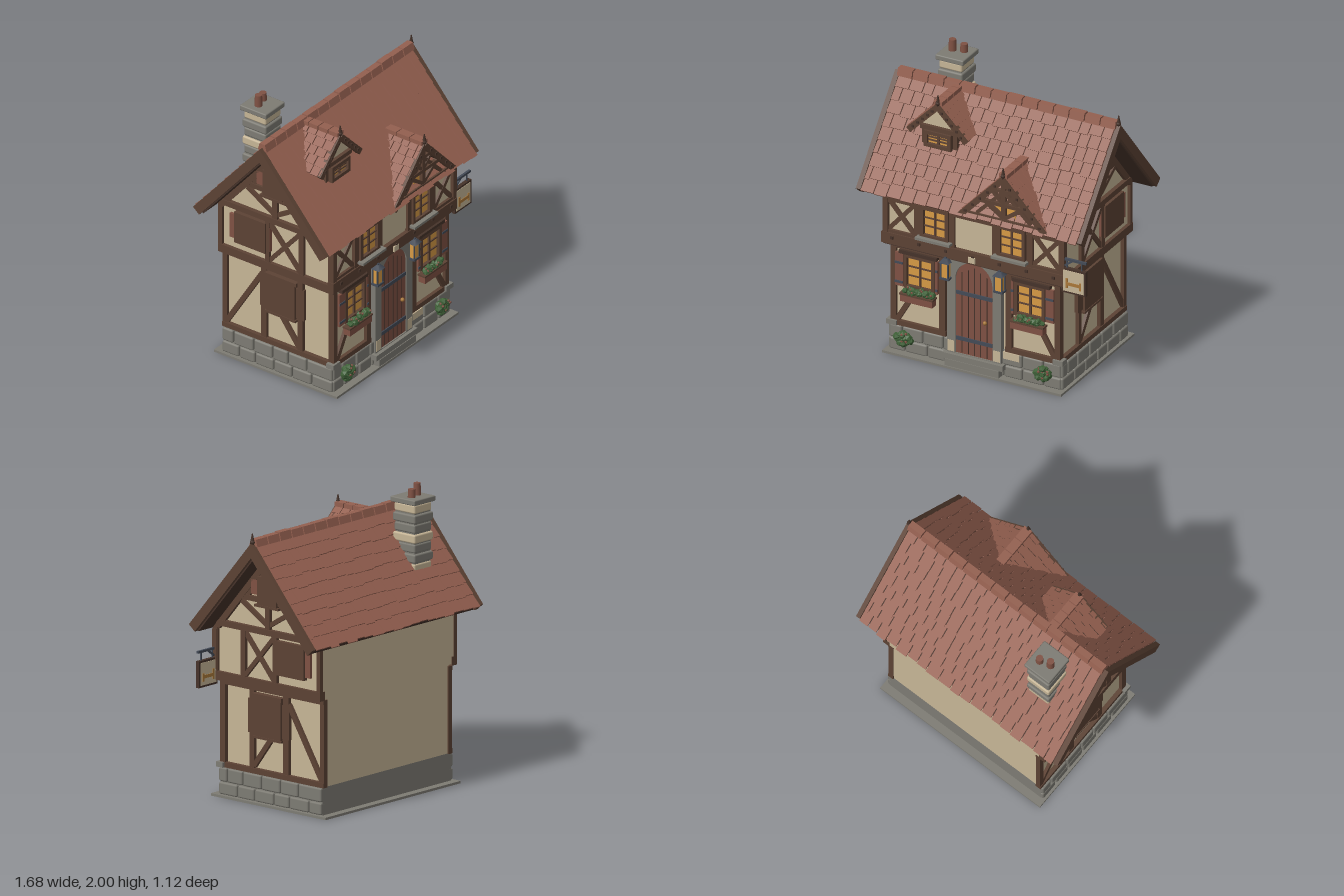
import * as THREE from 'three';
import { mergeGeometries } from 'three/addons/utils/BufferGeometryUtils.js';
import { RoundedBoxGeometry } from 'three/addons/geometries/RoundedBoxGeometry.js';

const paint = (name, color) => Object.assign(new THREE.MeshStandardMaterial({ color }), { name });
const plaster = paint('plaster', 0xc6b596), timber = paint('timber', 0x5c4234), dark = paint('dark timber', 0x46332a);
const tile = paint('roof tile', 0x935f4f), stone = paint('stone', 0x7d7b73), iron = paint('iron', 0x434a56);
const glow = paint('lit glass', 0xd69a45), leaf = paint('leaf', 0x3f6138), wood = paint('red wood', 0x7f5143);
const brass = paint('brass', 0xa9783a);

let seed = 7;
const rnd = () => (seed = (seed * 16807) % 2147483647) / 2147483647;

function add(p, name, geo, mat, x = 0, y = 0, z = 0) {
  const m = new THREE.Mesh(geo, mat);
  m.name = name;
  m.position.set(x, y, z);
  p.add(m);
  return m;
}
const box = (p, name, mat, x, y, z, w, h, d) => add(p, name, new THREE.BoxGeometry(w, h, d), mat, x, y, z);
// Box given by its left, right, bottom and top edges
const span = (p, name, mat, x0, x1, y0, y1, z, d) => box(p, name, mat, (x0 + x1) / 2, (y0 + y1) / 2, z, x1 - x0, y1 - y0, d);
function bar(p, name, mat, x1, y1, x2, y2, w, z, d) {
  const m = box(p, name, mat, (x1 + x2) / 2, (y1 + y2) / 2, z, Math.hypot(x2 - x1, y2 - y1), w, d);
  m.rotation.z = Math.atan2(y2 - y1, x2 - x1);
}
function group(p, name) {
  const g = new THREE.Group();
  g.name = name;
  p.add(g);
  return g;
}
const shapeOf = pts => new THREE.Shape(pts.map(q => new THREE.Vector2(...q)));
const extrude = (s, depth) => new THREE.ExtrudeGeometry(s, { depth, bevelEnabled: false, curveSegments: 16 });
// Cross-section in the z-y plane carried along x
const prism = (pts, x0, x1) => extrude(shapeOf(pts), x1 - x0).rotateY(Math.PI / 2).translate(x0, 0, 0);

// Main roof line: y falls from APEX with z
const APEX = 1.79, SLOPE = 1.17, A = Math.atan(SLOPE);
const valley = y => (APEX - y) / SLOPE;
function chevron(reach, top, thick) {
  const y = APEX + top - SLOPE * reach, t = thick * Math.cos(A);
  const zi = reach - t * Math.sin(A), yi = y - t * Math.cos(A);
  return [[-reach, y], [-zi, yi], [0, APEX + top - thick], [zi, yi], [reach, y], [0, APEX + top]];
}

// Two staggered courses of rounded blocks along a wall
function stones(p, u0, u1, z) {
  [[0.018, 0.1], [0.105, 0.2]].forEach(([y0, y1], row) => {
    let u = u0;
    while (u < u1 - 0.02) {
      let w = 0.12 + rnd() * 0.05 - (row && u === u0 ? 0.05 : 0);
      if (u1 - u - w < 0.07) w = u1 - u;
      const g = new RoundedBoxGeometry(w - 0.008, y1 - y0, 0.05, 1, 0.012);
      add(p, 'foundationBlock', g, stone, u + w / 2, (y0 + y1) / 2, z);
      u += w;
    }
  });
}

function window_(p, x0, x1, y0, y1, z) {
  const g = group(p, 'window'), f = 0.025, cx = (x0 + x1) / 2;
  span(g, 'glass', glow, x0, x1, y0, y1, z, 0.008);
  for (const [a, b] of [[x0 - f, x0], [x1, x1 + f]]) span(g, 'frameSide', timber, a, b, y0 - f, y1 + f, z + 0.01, 0.035);
  for (const [a, b] of [[y0 - f, y0], [y1, y1 + f]]) span(g, 'frameRail', timber, x0, x1, a, b, z + 0.01, 0.035);
  box(g, 'mullion', timber, cx, (y0 + y1) / 2, z + 0.008, 0.014, y1 - y0, 0.014);
  for (const k of [1, 2]) box(g, 'glazingBar', timber, cx, y0 + (y1 - y0) * k / 3, z + 0.007, x1 - x0, 0.009, 0.012);
}

function foliage(p, x, y, z, rx, ry, r, n) {
  const green = [], red = [];
  for (let i = 0; i < n; i++) {
    const a = rnd() * 6.28, q = Math.sqrt(rnd());
    const px = q * rx * Math.cos(a), py = q * ry * Math.sin(a), pz = (rnd() - 0.5) * 0.03;
    green.push(new THREE.IcosahedronGeometry(r * (0.7 + rnd() * 0.5), 0).rotateX(a).translate(px, py, pz));
    if (i % 4 === 0) red.push(new THREE.IcosahedronGeometry(r * 0.4, 0).translate(px, py + r * 0.6, pz + r * 0.7));
  }
  add(p, 'leaves', mergeGeometries(green), leaf, x, y, z);
  add(p, 'flowers', mergeGeometries(red), wood, x, y, z);
}

function frontWall(root) {
  const g = group(root, 'frontWall');
  stones(g, -0.64, 0.64, 0.43);
  span(g, 'paleBlock', plaster, 0.21, 0.33, 0.15, 0.2, 0.43, 0.056);
  span(g, 'centrePlaster', plaster, -0.14, 0.14, 0.9, 1.13, 0.458, 0.01);
  span(g, 'jettyBeam', timber, -0.68, 0.67, 0.8, 0.88, 0.46, 0.05);
  span(g, 'jettyMoulding', dark, -0.67, 0.66, 0.79, 0.81, 0.455, 0.04);
  span(g, 'topBeam', timber, -0.67, 0.67, 1.11, 1.16, 0.462, 0.03);
  for (let x = -0.6; x < 0.65; x += 0.2) box(g, 'beamPeg', dark, x, 0.85, 0.487, 0.02, 0.02, 0.012);
  for (const s of [-1, 1]) {
    const S = (n, m, a, b, y0, y1, z, d) => span(g, n, m, Math.min(s * a, s * b), Math.max(s * a, s * b), y0, y1, z, d);
    // Ground floor frame
    S('sillBeam', timber, 0.22, 0.63, 0.2, 0.235, 0.435, 0.03);
    S('cornerPost', timber, 0.59, 0.63, 0.2, 0.8, 0.43, 0.04);
    S('doorPost', timber, 0.225, 0.27, 0.2, 0.8, 0.435, 0.03);
    S('headBeam', timber, 0.22, 0.63, 0.765, 0.8, 0.435, 0.03);
    S('lintel', dark, 0.28, 0.56, 0.74, 0.765, 0.45, 0.035);
    bar(g, 'brace', timber, s * 0.59, 0.23, s * 0.48, 0.42, 0.035, 0.435, 0.025);
    S('cornerStone', stone, 0.58, 0.655, 0.2, 0.235, 0.435, 0.06);
    window_(g, s * 0.41 - 0.09, s * 0.41 + 0.09, 0.52, 0.72, 0.44);
    for (const [a, b] of [[0.53, 0.59], [0.272, 0.29]]) {
      S('shutter', wood, a, b, 0.5, 0.74, 0.455, 0.02);
      for (const y of [0.53, 0.67]) S('shutterHinge', iron, a, b, y - 0.008, y + 0.008, 0.467, 0.006);
    }
    // Flower box and bush
    S('flowerBox', wood, 0.29, 0.53, 0.415, 0.47, 0.48, 0.055);
    S('flowerBoxRim', timber, 0.285, 0.535, 0.462, 0.474, 0.48, 0.062);
    foliage(g, s * 0.41, 0.49, 0.48, 0.11, 0.016, 0.022, 34);
    foliage(g, s * 0.52, 0.125, 0.475, 0.05, 0.04, 0.026, 30);
    // Lantern
    const l = group(g, 'lantern');
    l.position.set(s * 0.2, 0, 0.485);
    box(l, 'lanternGlass', glow, 0, 0.715, 0, 0.05, 0.11, 0.04);
    box(l, 'lanternBase', iron, 0, 0.655, 0, 0.07, 0.014, 0.056);
    add(l, 'lanternCap', new THREE.CylinderGeometry(0.018, 0.052, 0.03, 4).rotateY(Math.PI / 4), iron, 0, 0.785, 0);
    for (const x of [-0.027, 0.027]) for (const z of [-0.02, 0.02]) box(l, 'lanternPost', iron, x, 0.715, z, 0.008, 0.12, 0.008);
    box(l, 'lanternArm', iron, 0, 0.8, -0.02, 0.014, 0.014, 0.06);
    // Upper floor frame
    for (const [a, b] of [[0.635, 0.675], [0.395, 0.44], [0.14, 0.19]]) S('upperPost', timber, a, b, 0.86, 1.13, 0.462, 0.035);
    S('lowRail', timber, 0.43, 0.65, 0.88, 0.9, 0.46, 0.03);
    bar(g, 'crossBrace', timber, s * 0.44, 0.9, s * 0.635, 1.12, 0.03, 0.46, 0.024);
    bar(g, 'crossBrace', timber, s * 0.44, 1.12, s * 0.635, 0.9, 0.03, 0.458, 0.024);
    window_(g, s * 0.285 - 0.08, s * 0.285 + 0.08, 0.935, 1.115, 0.465);
    S('windowSill', stone, 0.155, 0.41, 0.9, 0.918, 0.495, 0.06);
  }
}

function doorway(root) {
  const g = group(root, 'doorway');
  const arch = (path, r, y0) => path.moveTo(-r, y0).lineTo(r, y0).lineTo(r, 0.66).absarc(0, 0.66, r, 0, Math.PI).lineTo(-r, y0);
  const surround = shapeOf([[-0.2, 0.11], [0.2, 0.11], [0.2, 0.803], [-0.2, 0.803]]);
  surround.holes.push(arch(new THREE.Path(), 0.137, 0.115));
  add(g, 'doorSurround', extrude(surround, 0.05), stone, 0, 0, 0.42);
  for (const s of [-1, 1]) box(g, 'paleQuoin', plaster, s * 0.17, 0.16, 0.45, 0.05, 0.08, 0.044);
  add(g, 'door', extrude(arch(new THREE.Shape(), 0.137, 0.11), 0.03), wood, 0, 0, 0.43);
  for (let i = -2; i <= 2; i++) box(g, 'plankGroove', dark, i * 0.046, 0.44 - Math.abs(i) * 0.012, 0.46, 0.006, 0.64 - Math.abs(i) * 0.025, 0.004);
  for (const y of [0.225, 0.56]) box(g, 'doorStrap', iron, 0, y, 0.463, 0.265, 0.026, 0.01);
  add(g, 'doorKnob', new THREE.SphereGeometry(0.014, 10, 8), brass, 0.085, 0.385, 0.475);
  box(g, 'keystone', plaster, -0.005, 0.83, 0.48, 0.05, 0.04, 0.03);
  box(g, 'step', stone, 0, 0.09, 0.455, 0.45, 0.04, 0.08);
  box(g, 'lowerStep', stone, 0, 0.045, 0.465, 0.4, 0.05, 0.07);
}

function sideWall(root, s) {
  const g = group(root, s > 0 ? 'leftWall' : 'rightWall');
  g.rotation.y = s * Math.PI / 2;
  // Local u runs along the wall, given here as z
  const S = (n, m, z0, z1, y0, y1, w, d) => span(g, n, m, Math.min(-s * z0, -s * z1), Math.max(-s * z0, -s * z1), y0, y1, w, d);
  const B = (n, z0, y0, z1, y1, w, o) => bar(g, n, timber, -s * z0, y0, -s * z1, y1, w, o, 0.03);
  const low = group(g, 'sideStones');
  stones(low, -0.45, 0.45, 0.625);
  S('sillBeam', timber, 0.44, -0.455, 0.2, 0.235, 0.615, 0.04);
  for (const [a, b] of [[0.445, 0.405], [0.195, 0.155], [-0.1, -0.145], [-0.42, -0.455]]) S('post', timber, a, b, 0.23, 0.79, 0.613, 0.034);
  B('brace', -0.14, 0.71, -0.43, 0.24, 0.035, 0.612);
  B('brace', 0.16, 0.25, 0.02, 0.44, 0.035, 0.612);
  S('headBeam', timber, 0.44, -0.455, 0.76, 0.79, 0.615, 0.04);
  S('jettyBeam', timber, 0.47, -0.46, 0.79, 0.85, 0.65, 0.05);
  // Shuttered windows
  S('shutterFrame', timber, 0.205, -0.15, 0.47, 0.7, 0.615, 0.03);
  S('shutterPanel', timber, 0.14, -0.09, 0.46, 0.72, 0.625, 0.04);
  S('shutterHead', timber, 0.155, -0.1, 0.72, 0.745, 0.625, 0.05);
  S('shutterSill', timber, 0.15, -0.1, 0.445, 0.46, 0.625, 0.05);
  S('upperShutters', wood, -0.04, -0.37, 0.93, 1.11, 0.658, 0.02);
  S('upperPanel', timber, -0.07, -0.325, 0.91, 1.14, 0.665, 0.035);
  S('atticShutters', wood, 0.14, -0.145, 1.42, 1.52, 0.665, 0.02);
  S('atticPanel', timber, 0.075, -0.09, 1.36, 1.55, 0.67, 0.035);
  S('atticSill', timber, 0.1, -0.11, 1.345, 1.36, 0.67, 0.045);
  // Upper frame
  for (const [a, b] of [[0.47, 0.435], [0.235, 0.195], [-0.045, -0.08], [-0.43, -0.46]]) S('upperPost', timber, a, b, 0.85, 1.17, 0.658, 0.03);
  B('crossBrace', 0.2, 0.86, -0.05, 1.15, 0.03, 0.655);
  B('crossBrace', 0.2, 1.15, -0.05, 0.86, 0.03, 0.654);
  S('gableBeam', timber, 0.44, -0.44, 1.16, 1.2, 0.66, 0.04);
  S('kingPost', timber, 0.02, -0.02, 1.2, 1.68, 0.66, 0.03);
  S('collarBeam', timber, 0.24, -0.24, 1.37, 1.405, 0.658, 0.03);
  for (const k of [-1, 1]) {
    B('gableRafter', k * 0.44, 1.155, 0, 1.67, 0.05, 0.66);
    B('gableBrace', 0, 1.22, k * 0.23, 1.36, 0.03, 0.656);
    B('upperBrace', k * 0.02, 1.6, k * 0.18, 1.4, 0.028, 0.655);
  }
}

// Staggered tiles lying on a plane: u across, v down the slope
function tileSheet(rows, pitch, range, width, lift = 0.009) {
  const list = [];
  for (let r = 0; r < rows; r++) {
    const [a, b] = range((r + 0.5) * pitch);
    let u = a - (r % 2) * width * 0.5;
    while (u < b - 0.01) {
      const w = width * (0.8 + rnd() * 0.4), lo = Math.max(u, a), hi = Math.min(u + w, b);
      const len = pitch * 1.2 - rnd() * pitch * 0.18;
      if (hi - lo > 0.012) list.push(new THREE.BoxGeometry(hi - lo - 0.007, 0.012, len).rotateX(-0.09)
        .translate((lo + hi) / 2, lift + rnd() * 0.003, r * pitch + len / 2));
      u += w;
    }
  }
  return mergeGeometries(list);
}

function finial(p, x, y, z) {
  const g = group(p, 'finial');
  add(g, 'finialSpike', new THREE.CylinderGeometry(0.003, 0.015, 0.06, 8), dark, x, y + 0.03, z);
  add(g, 'finialBall', new THREE.SphereGeometry(0.017, 8, 6), dark, x, y, z);
}

function mainRoof(root) {
  const g = group(root, 'mainRoof');
  add(g, 'roofDeck', prism(chevron(0.525, 0, 0.095), -0.81, 0.81), dark);
  for (const s of [-1, 1]) {
    add(g, 'bargeBoard', prism(chevron(0.54, 0.02, 0.1), s > 0 ? 0.805 : -0.84, s > 0 ? 0.835 : -0.805), timber);
    const side = group(g, s > 0 ? 'frontSlope' : 'backSlope'), L = 0.53 / Math.cos(A);
    if (s < 0) side.rotation.y = Math.PI;
    add(side, 'tiles', tileSheet(9, L / 9, () => [-0.803, 0.803], 0.088), tile, 0, APEX, 0).rotation.x = A;
  }
  for (let i = 0; i < 14; i++) {
    const x = -0.755 + i * 0.1162, h = rnd() * 0.008;
    add(g, 'ridgeCap', prism([[-0.036, 1.785], [0.036, 1.785], [0.022, 1.832 + h], [-0.022, 1.832 + h]], x - 0.054, x + 0.054), tile);
  }
  finial(g, 0.82, 1.815, 0);
}

// Small gabled roof running back into the main slope
function dormerRoof(root, name, x, ya, half, drop, zf) {
  const g = group(root, name), b = Math.atan2(drop, half), L = Math.hypot(half, drop);
  g.position.x = x;
  const back = u => valley(ya - u * Math.sin(b)) - 0.012;
  for (const s of [-1, 1]) {
    const basis = new THREE.Matrix4().makeBasis(new THREE.Vector3(s * Math.cos(b), -Math.sin(b), 0),
      new THREE.Vector3(0, 0, -s), new THREE.Vector3(s * Math.sin(b), Math.cos(b), 0));
    const pts = [[0, zf], [L, zf], [L, Math.min(back(L), zf - 0.005)], [0, back(0)]].map(([u, z]) => [u, -s * z]);
    add(g, 'dormerDeck', extrude(shapeOf(pts), 0.02).translate(0, 0, -0.02).applyMatrix4(basis), dark, 0, ya, 0);
    const rows = Math.round(L / 0.062);
    const sheet = tileSheet(rows, L / rows, u => s > 0 ? [-zf, -back(u)] : [back(u), zf], 0.07, 0.005);
    // Sheet axes (u, up, v) turned onto the slope axes
    const swap = new THREE.Matrix4().makeBasis(new THREE.Vector3(0, 0, -s * s * (s > 0 ? 1 : -1)),
      new THREE.Vector3(s * Math.sin(b), Math.cos(b), 0), new THREE.Vector3(s * Math.cos(b), -Math.sin(b), 0));
    add(g, 'dormerTiles', sheet.applyMatrix4(swap), tile, 0, ya, 0);
    bar(g, 'dormerBargeBoard', timber, 0, ya - 0.015, s * half, ya - drop - 0.015, 0.042, zf - 0.01, 0.032);
    for (let k = 1; k < 6; k++) box(g, 'boardPeg', dark, s * half * k / 6, ya - 0.015 - drop * k / 6, zf + 0.007, 0.016, 0.016, 0.012);
  }
  const zb = valley(ya) - 0.01, n = Math.round((zf - zb) / 0.09);
  for (let i = 0; i < n; i++) box(g, 'dormerRidgeCap', tile, 0, ya + 0.008, zb + (i + 0.5) * (zf - zb) / n, 0.062, 0.03, (zf - zb) / n - 0.006);
  finial(g, 0, ya + 0.01, zf - 0.005);
  return g;
}

function dormers(root) {
  // Attic dormer with plaster gable and window
  const a = dormerRoof(root, 'atticDormer', -0.36, 1.8, 0.215, 0.215, 0.305);
  box(a, 'dormerWall', timber, 0, 1.55, 0.18, 0.26, 0.14, 0.2);
  add(a, 'dormerGable', extrude(shapeOf([[-0.15, 1.61], [0.15, 1.61], [0, 1.765]]), 0.1), plaster, 0, 0, 0.17);
  box(a, 'dormerBeam', timber, 0, 1.61, 0.28, 0.27, 0.03, 0.03);
  window_(a, -0.075, 0.075, 1.505, 1.57, 0.283);
  // Front gable with open truss
  const f = dormerRoof(root, 'frontGable', 0.25, 1.52, 0.33, 0.345, 0.535);
  box(f, 'tieBeam', timber, 0, 1.195, 0.515, 0.62, 0.03, 0.03);
  box(f, 'kingPost', timber, 0, 1.36, 0.515, 0.03, 0.32, 0.025);
  box(f, 'collar', timber, 0, 1.31, 0.515, 0.36, 0.025, 0.025);
  box(f, 'upperCollar', timber, 0, 1.41, 0.515, 0.18, 0.022, 0.025);
  box(f, 'gableGlass', glow, 0, 1.255, 0.495, 0.15, 0.09, 0.008);
  for (const s of [-1, 1]) {
    bar(f, 'trussBrace', timber, 0, 1.21, s * 0.17, 1.33, 0.025, 0.513, 0.024);
    bar(f, 'trussBrace', timber, s * 0.2, 1.21, 0, 1.41, 0.025, 0.511, 0.024);
    bar(f, 'trussBrace', timber, 0, 1.31, s * 0.1, 1.41, 0.022, 0.512, 0.024);
  }
}

function chimney(root) {
  const g = group(root, 'chimney');
  g.position.set(-0.505, 0, -0.225);
  box(g, 'chimneyCore', stone, 0, 1.65, 0, 0.155, 0.46, 0.165);
  for (let i = 0; i < 7; i++) {
    const w = i % 2 ? 0.185 : 0.17;
    add(g, 'chimneyCourse', new RoundedBoxGeometry(w, 0.06, w + 0.01, 1, 0.012), i % 3 === 0 ? plaster : stone, 0, 1.85 - i * 0.066, 0);
  }
  add(g, 'chimneyCap', new RoundedBoxGeometry(0.21, 0.038, 0.215, 1, 0.008), stone, 0, 1.9, 0);
  for (const [x, z, h] of [[-0.035, -0.005, 0.085], [0.04, -0.025, 0.06]])
    add(g, 'chimneyPot', new THREE.CylinderGeometry(0.024, 0.027, h, 12), wood, x, 1.915 + h / 2, z);
}

function hangingSign(root) {
  const g = group(root, 'hangingSign');
  g.position.z = 0.465;
  bar(g, 'signArm', iron, 0.66, 1.0, 0.835, 1.0, 0.016, 0, 0.016);
  bar(g, 'signStay', iron, 0.67, 0.95, 0.74, 1.0, 0.012, 0, 0.012);
  for (const x of [0.69, 0.8]) box(g, 'signHanger', iron, x, 0.965, 0, 0.008, 0.06, 0.008);
  span(g, 'signBoard', dark, 0.655, 0.835, 0.76, 0.94, 0, 0.026);
  for (const s of [-1, 1]) {
    span(g, 'signFace', plaster, 0.668, 0.822, 0.774, 0.926, s * 0.013, 0.006);
    span(g, 'benchSeat', brass, 0.69, 0.8, 0.82, 0.842, s * 0.018, 0.006);
    for (const [x, y] of [[0.69, 0.87], [0.79, 0.855]]) span(g, 'benchEnd', brass, x, x + 0.014, 0.8, y, s * 0.018, 0.006);
  }
}

export function createModel() {
  const root = new THREE.Group();
  root.name = 'timberFramedHouse';
  box(root, 'groundSlab', stone, 0, 0.008, 0, 1.33, 0.016, 1.0);
  box(root, 'foundation', stone, 0, 0.108, -0.005, 1.26, 0.19, 0.88);
  box(root, 'groundFloor', plaster, 0, 0.5, -0.01, 1.21, 0.6, 0.87);
  add(root, 'upperFloorAndGables', prism([[-0.455, 0.8], [0.455, 0.8], [0.455, 1.158], [0, 1.695], [-0.455, 1.158]], -0.65, 0.65), plaster);
  frontWall(root);
  doorway(root);
  for (const s of [-1, 1]) sideWall(root, s);
  mainRoof(root);
  dormers(root);
  chimney(root);
  hangingSign(root);
  return root;
}
